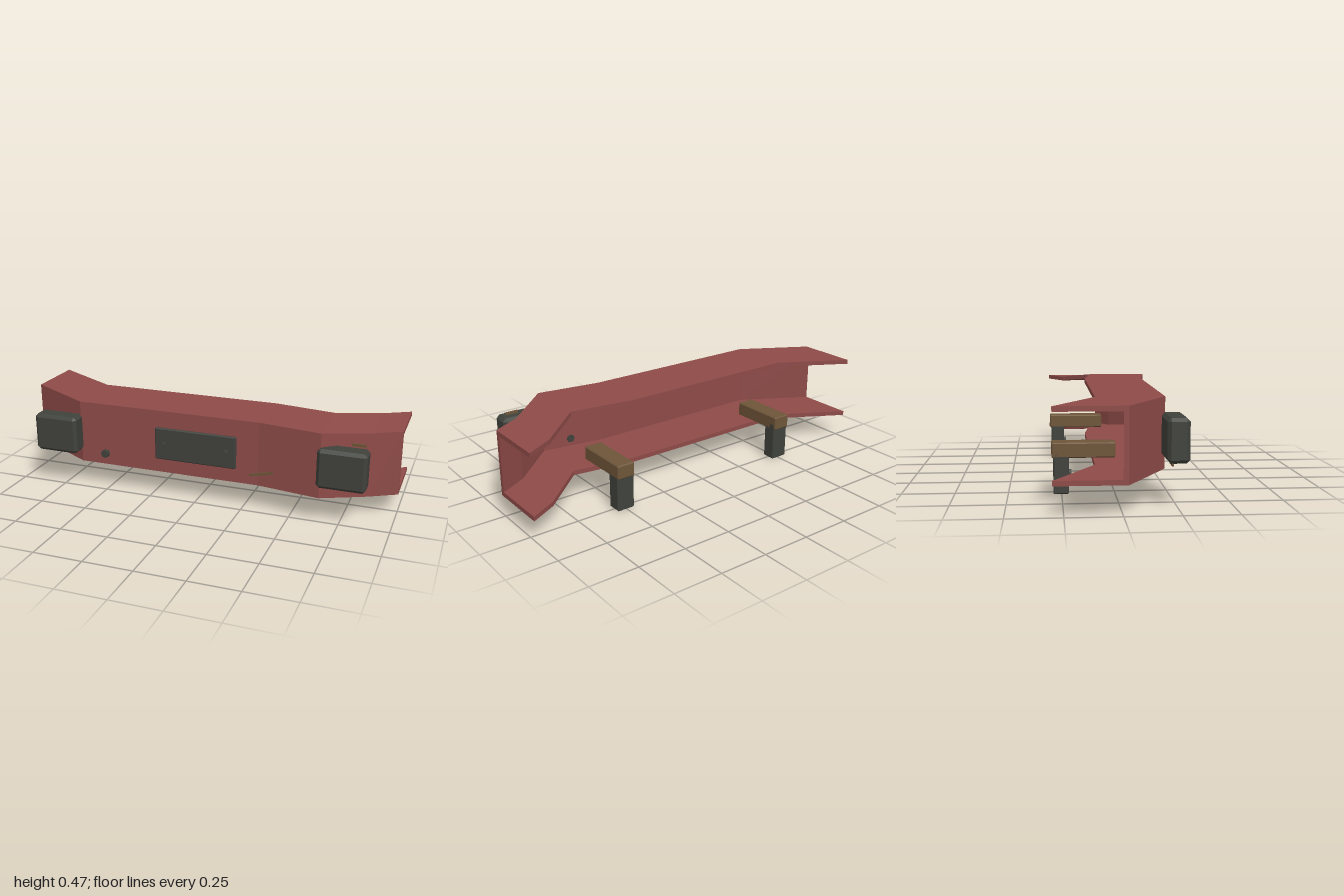
import * as THREE from 'three';
import { ConvexGeometry } from 'three/addons/geometries/ConvexGeometry.js';

const red = new THREE.MeshStandardMaterial({ name: 'faded red paint', color: 0x8e4b48 });
const dark = new THREE.MeshStandardMaterial({ name: 'dark rubber', color: 0x40423c });
const rust = new THREE.MeshStandardMaterial({ name: 'rusty brown', color: 0x6e5539 });

// Box with flat chamfers on every edge
function chamferBox(w, h, d, c) {
  const pts = [];
  for (const x of [-1, 1]) for (const y of [-1, 1]) for (const z of [-1, 1]) {
    for (let k = 0; k < 3; k++) {
      const inset = [c, c, c];
      inset[k] = 0;
      pts.push(new THREE.Vector3(x * (w / 2 - inset[0]), y * (h / 2 - inset[1]), z * (d / 2 - inset[2])));
    }
  }
  return new ConvexGeometry(pts);
}

// Bent channel: one C section swept through stations [x, front z, y offset]
function channelGeometry() {
  const top = 0.468, bottom = 0.135, depth = 0.32, t = 0.023;
  const section = [
    [0, top], [-depth, top], [-depth, top - t], [-t, top - t],
    [-t, bottom + t], [-depth, bottom + t], [-depth, bottom], [0, bottom],
  ];
  const stations = [
    [-1, 0.022, 0], [-0.65, 0.22, 0], [0.33, 0.22, 0],
    [0.65, 0.268, 0], [0.86, 0.1, -0.031], [1, 0.022, -0.031],
  ];
  const rings = stations.map(([x, z, y]) => section.map(([dz, py]) => [x, py + y, z + dz]));
  const pos = [];
  const quad = (a, b, c, d) => pos.push(...a, ...b, ...c, ...a, ...c, ...d);
  for (let s = 0; s < rings.length - 1; s++) {
    const p = rings[s], q = rings[s + 1];
    for (let i = 0; i < 8; i++) {
      const j = (i + 1) % 8;
      quad(p[i], q[i], q[j], p[j]);
    }
  }
  // end caps: upper flange, web, lower flange
  const first = rings[0], last = rings[rings.length - 1];
  for (const [a, b, c, d] of [[0, 1, 2, 3], [0, 3, 4, 7], [7, 4, 5, 6]]) {
    quad(first[a], first[b], first[c], first[d]);
    quad(last[d], last[c], last[b], last[a]);
  }
  const g = new THREE.BufferGeometry();
  g.setAttribute('position', new THREE.Float32BufferAttribute(pos, 3));
  g.computeVertexNormals();
  return g;
}

// Six or eight sided bolt head facing forward
function boltGeometry(r, depth, sides) {
  return new THREE.CylinderGeometry(r, r, depth, sides).toNonIndexed().rotateX(Math.PI / 2);
}

export function createModel() {
  const model = new THREE.Group();
  model.name = 'bentBumper';
  const add = (name, geometry, material, x, y, z, roll = 0) => {
    const m = new THREE.Mesh(geometry, material);
    m.name = name;
    m.position.set(x, y, z);
    m.rotation.z = roll;
    model.add(m);
    return m;
  };

  add('bumperChannel', channelGeometry(), red, 0, 0, 0);

  // Rubber guards
  add('rightGuard', chamferBox(0.24, 0.2, 0.1, 0.016), dark, -0.763, 0.298, 0.25);
  add('leftGuard', chamferBox(0.24, 0.2, 0.1, 0.016), dark, 0.757, 0.298, 0.25);

  // Centre plate and its bolts
  add('centrePlate', chamferBox(0.436, 0.17, 0.018, 0.005), dark, -0.002, 0.295, 0.226);
  for (const x of [-0.17, 0.163]) {
    add('plateBolt', boltGeometry(0.014, 0.024, 8), dark, x, 0.295, 0.239);
  }

  // Mounting arms, hanging posts and bolts on both sides
  for (const x of [-0.508, 0.503]) {
    add('mountArm', chamferBox(0.094, 0.072, 0.3, 0.005), rust, x, 0.208, -0.147);
    add('mountPost', chamferBox(0.094, 0.202, 0.073, 0.005), dark, x, 0.102, -0.252);
    add('postBolt', boltGeometry(0.02, 0.014, 8), dark, x, 0.092, -0.21);
    add('webBolt', boltGeometry(0.021, 0.024, 8), dark, x, 0.198, 0.231);
  }

  // Rust scratches and loose flakes
  const scratches = [
    [-0.852, 0.195, 0.222, 0.08, 0.008, 0],
    [0.823, 0.417, 0.227, 0.066, 0.013, 0],
    [0.328, 0.197, 0.225, 0.082, 0.012, 0.24],
    [0.385, 0.212, 0.231, 0.05, 0.014, 0.3],
  ];
  for (const [x, y, z, w, h, roll] of scratches) {
    add('rustScratch', new THREE.BoxGeometry(w, h, 0.008), rust, x, y, z, roll);
  }

  return model;
}
